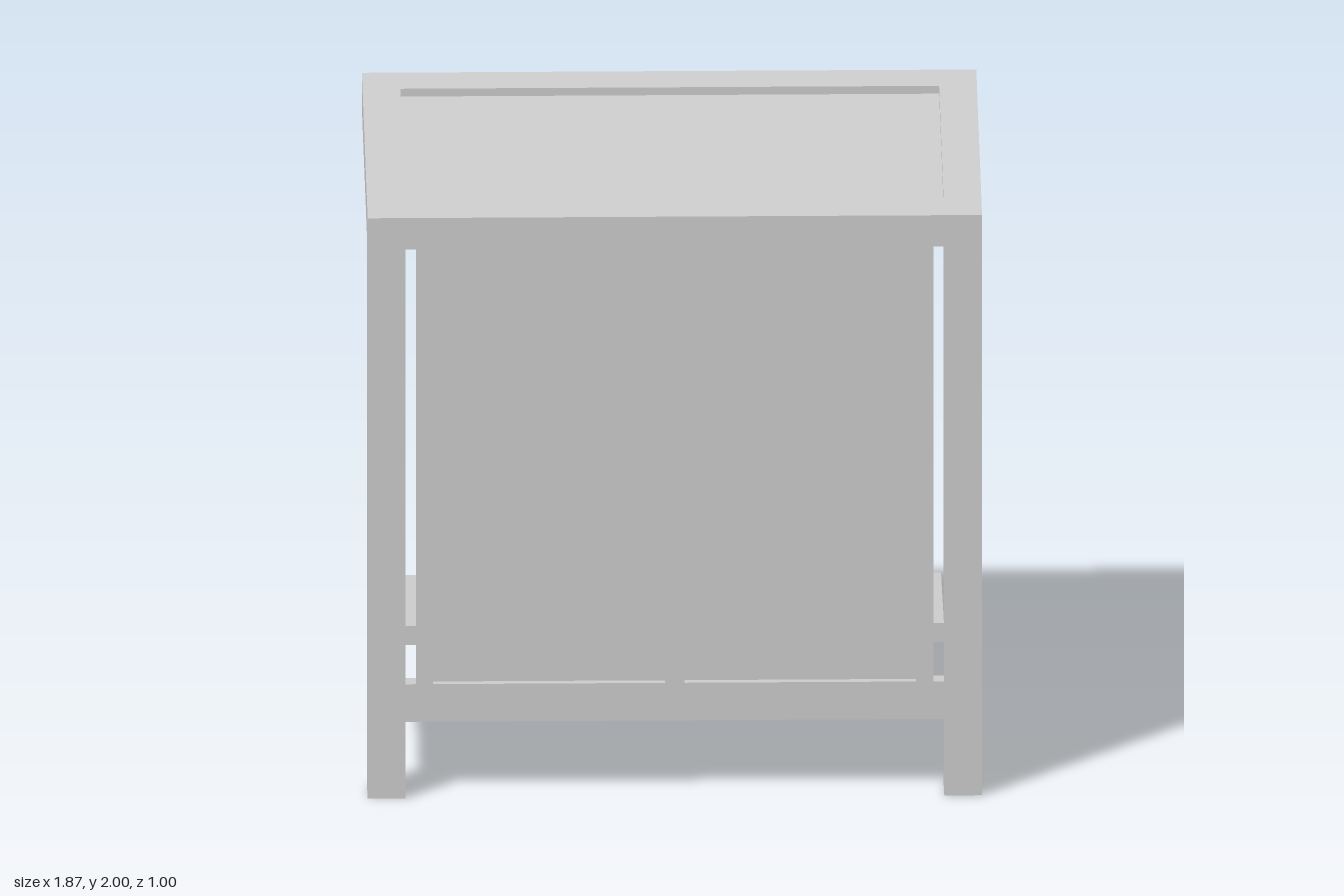
import * as THREE from 'three';

const material = new THREE.MeshStandardMaterial({ color: 0xcccccc, flatShading: true });

export function createModel() {
  const model = new THREE.Group();

  function add(name, geometry) {
    const mesh = new THREE.Mesh(geometry, material);
    mesh.name = name;
    model.add(mesh);
  }

  // Box given by its limits on each axis
  function box(name, [x0, x1], [y0, y1], [z0, z1]) {
    const g = new THREE.BoxGeometry(x1 - x0, y1 - y0, z1 - z0);
    add(name, g.translate((x0 + x1) / 2, (y0 + y1) / 2, (z0 + z1) / 2));
  }

  // Side profile of [z, y] points, swept across x
  function prism(name, [x0, x1], points) {
    const shape = new THREE.Shape(points.map(([z, y]) => new THREE.Vector2(-z, y)));
    const g = new THREE.ExtrudeGeometry(shape, { depth: x1 - x0, bevelEnabled: false });
    add(name, g.rotateY(Math.PI / 2).translate(x0, 0, 0));
  }

  // Range on the given side, mirrored for the right
  const mirror = (side, a, b) => (side > 0 ? [a, b] : [-b, -a]);

  // Sloping roof lines
  const slope = 0.1486;
  const roofTop = (z) => 1.87 + (0.38 - z) * slope;
  const roofBottom = (z) => 1.755 + (0.38 - z) * slope;

  // Roof: front and back beams with a sunken sheet between them
  const inner = [-0.82, 0.82];
  prism('roofFrontBeam', inner, [[0.5, 1.755], [0.5, 1.855], [0.38, 1.87], [0.38, 1.755]]);
  prism('roofBackBeam', inner, [
    [-0.385, roofBottom(-0.385)], [-0.385, roofTop(-0.385)],
    [-0.495, roofTop(-0.495)], [-0.495, roofBottom(-0.495)],
  ]);
  prism('roofPanel', inner, [
    [0.38, roofTop(0.38) - 0.055], [0.38, roofTop(0.38) - 0.025],
    [-0.385, roofTop(-0.385) - 0.025], [-0.385, roofTop(-0.385) - 0.055],
  ]);

  for (const side of [1, -1]) {
    // Roof side beam and the leg below it
    const post = mirror(side, 0.82, 0.935);
    prism('roofSideBeam', post, [
      [0.5, 1.755], [0.5, 1.855], [0.38, 1.87],
      [-0.495, roofTop(-0.495)], [-0.495, roofBottom(-0.495)], [0.38, 1.755],
    ]);
    box('leg', post, [0, 1.755], [0.38, 0.5]);

    // Side wall: rail, stile, wedge under the roof and thin panel
    const wall = mirror(side, 0.845, 0.905);
    box('sideBottomRail', wall, [0.235, 0.355], [-0.375, 0.38]);
    box('sideStile', wall, [0.355, 1.755], [-0.375, -0.32]);
    prism('sideTopWedge', wall, [[0.38, 1.755], [-0.375, roofBottom(-0.375)], [-0.375, 1.755]]);
    box('sidePanel', mirror(side, 0.871, 0.879), [0.355, 1.755], [-0.32, 0.38]);

    // Front wall stile and panel
    box('frontStile', mirror(side, 0.735, 0.787), [0.355, 1.755], [0.41, 0.47]);
    box('frontPanel', mirror(side, 0.03, 0.735), [0.355, 1.755], [0.436, 0.444]);

    // Diagonal strut under the seat
    prism('seatBrace', mirror(side, 0.645, 0.735), [
      [0.41, 0.24], [0.41, 0.355], [0.22, 0.47], [0.03, 0.47],
    ]);
  }

  // Front wall bottom rail and centre post
  box('frontBottomRail', inner, [0.235, 0.355], [0.41, 0.47]);
  box('frontCentrePost', [-0.03, 0.03], [0.355, 1.755], [0.41, 0.47]);

  // Bench seat
  box('seat', inner, [0.47, 0.53], [-0.07, 0.436]);

  return model;
}
